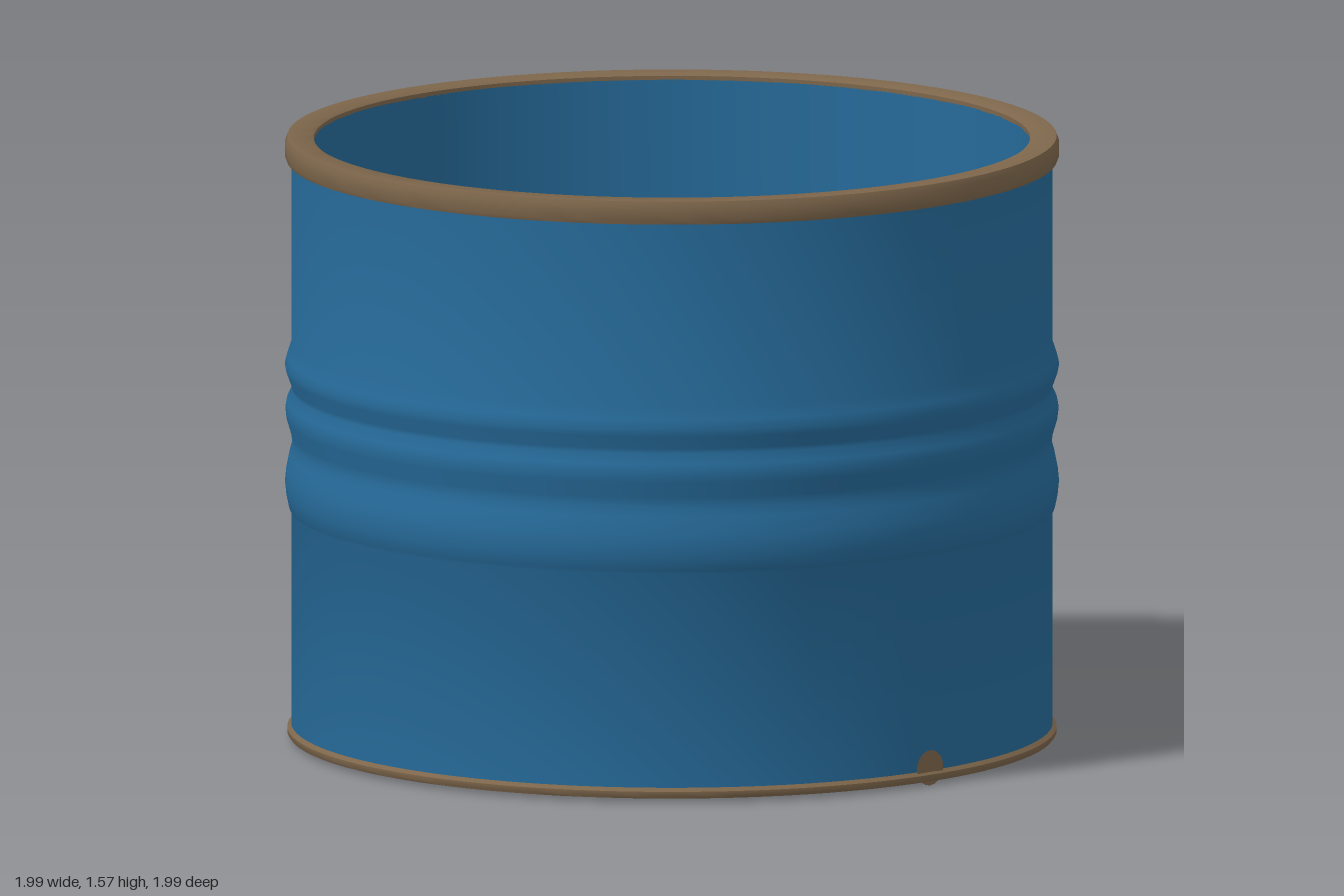
import * as THREE from 'three';
import { toCreasedNormals } from 'three/addons/utils/BufferGeometryUtils.js';

const SEGMENTS = 96;

export function createModel() {
  const model = new THREE.Group();
  model.name = 'ribbedRing';

  const blue = new THREE.MeshStandardMaterial({ color: 0x266a99 });
  blue.name = 'blue paint';
  const brown = new THREE.MeshStandardMaterial({ color: 0x7d664b });
  brown.name = 'brown edge';

  const add = (name, geometry, material) => {
    const mesh = new THREE.Mesh(geometry, material);
    mesh.name = name;
    model.add(mesh);
    return mesh;
  };

  // Turned part from [radius, height] pairs
  const turned = (name, profile, material, crease = 0.6) => {
    const points = profile.map(([r, y]) => new THREE.Vector2(r, y));
    return add(name, toCreasedNormals(new THREE.LatheGeometry(points, SEGMENTS), crease), material);
  };

  // Outer wall with one wide rib and two narrow ones
  turned('outerWall', [
    [0.98, 0.02], [0.98, 0.585], [0.986, 0.595], [0.993, 0.63], [0.996, 0.66], [0.993, 0.69],
    [0.984, 0.735], [0.977, 0.76], [0.98, 0.785], [0.992, 0.825], [0.995, 0.85], [0.991, 0.873],
    [0.978, 0.9], [0.98, 0.912], [0.992, 0.945], [0.996, 0.965], [0.99, 0.99], [0.98, 1.02],
    [0.98, 1.51],
  ], blue, 0.8);

  // Smooth inside of the ring
  turned('innerWall', [[0.922, 1.545], [0.922, 0.008]], blue);

  // Slightly rounded top rim
  turned('topRim', [
    [0.978, 1.5], [0.992, 1.5], [0.996, 1.51], [0.996, 1.545], [0.99, 1.56],
    [0.93, 1.56], [0.922, 1.555], [0.922, 1.543],
  ], brown);

  // Thin bottom rim
  turned('bottomRim', [
    [0.922, 0.01], [0.926, 0], [0.986, 0], [0.99, 0.006], [0.99, 0.018], [0.979, 0.028],
  ], brown);

  // Bare spots above the bottom rim: [x, z, radius]
  for (const [x, z, radius] of [[0.055, 0.98, 0.046], [0.886, 0.42, 0.032]]) {
    const angle = Math.atan2(x, z);
    const spot = add('bareSpot', new THREE.CircleGeometry(radius, 20), brown);
    spot.position.set(Math.sin(angle) * 0.983, 0.035, Math.cos(angle) * 0.983);
    spot.rotation.y = angle;
  }

  return model;
}
